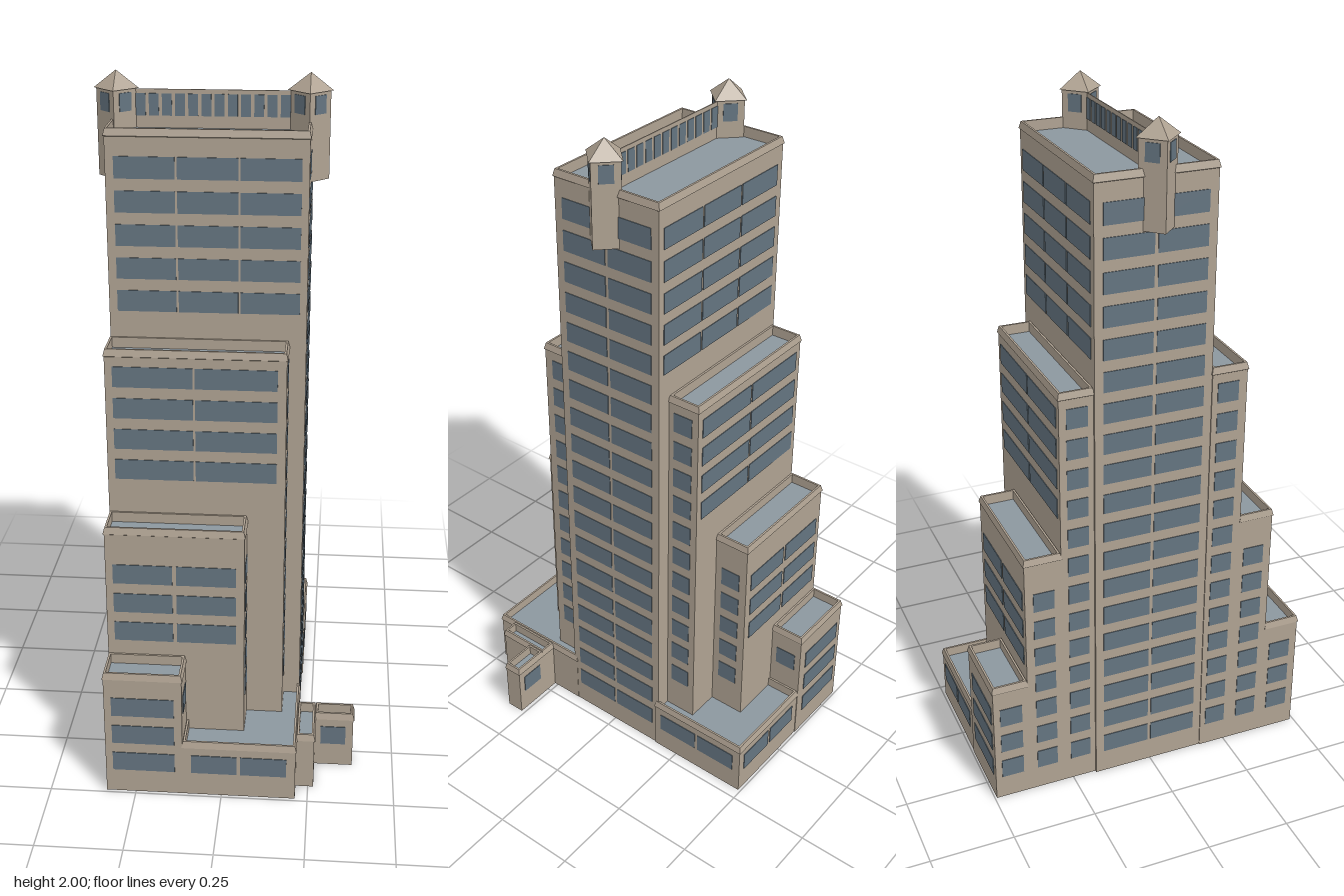
import * as THREE from 'three';
import { mergeGeometries } from 'three/addons/utils/BufferGeometryUtils.js';

const mat = (name, color) => new THREE.MeshStandardMaterial({ name, color });

// Surface through a stack of rectangles [x0, x1, z0, z1, y], flat-sided
function rectLoft(rings, capFirst, capLast) {
  const pos = [];
  const corners = ([x0, x1, z0, z1, y]) => [[x0, y, z1], [x1, y, z1], [x1, y, z0], [x0, y, z0]];
  const quad = (a, b, c, d) => pos.push(...a, ...b, ...c, ...a, ...c, ...d);
  const loops = rings.map(corners);
  for (let i = 0; i + 1 < loops.length; i++) {
    for (let k = 0; k < 4; k++) {
      const n = (k + 1) % 4;
      quad(loops[i][k], loops[i][n], loops[i + 1][n], loops[i + 1][k]);
    }
  }
  if (capFirst) quad(...[...loops[0]].reverse());
  if (capLast) quad(...loops[loops.length - 1]);
  const g = new THREE.BufferGeometry();
  g.setAttribute('position', new THREE.Float32BufferAttribute(pos, 3));
  g.computeVertexNormals();
  return g;
}

// Window grid: row 0 is the highest floor, row 18 the ground floor
const rowY = (row) => 1.771 - row * 0.0926;
const WIN_H = 0.06;
const THIN = 0.004;

export function createModel() {
  const model = new THREE.Group();
  model.name = 'tower';
  const stone = mat('stone', 0xafa292);
  const roofGrey = mat('roof grey', 0x8c979f);
  const glass = mat('window glass', 0x647480);

  const add = (parent, name, geometry, material) => {
    const m = new THREE.Mesh(geometry, material);
    m.name = name;
    parent.add(m);
    return m;
  };

  // Block with a bevelled parapet, a sunken roof and window panels.
  // Each window entry: [side, firstRow, lastRow, [[from, to], ...]]
  function block(name, x0, x1, z0, z1, h, windows) {
    const g = new THREE.Group();
    g.name = name;
    model.add(g);
    const ring = (o, y) => [x0 - o, x1 + o, z0 - o, z1 + o, y];
    add(g, 'walls', rectLoft([
      ring(0, 0), ring(0, h - 0.022), ring(0.003, h - 0.02), ring(-0.002, h),
      ring(-0.008, h), ring(-0.008, h - 0.03),
    ], true, false), stone);
    add(g, 'roof', rectLoft([ring(-0.008, h - 0.03)], false, true), roofGrey);

    const panels = [];
    for (const [side, first, last, spans] of windows) {
      for (let row = first; row <= last; row++) {
        for (const [a, b] of spans) {
          const w = Math.abs(b - a), c = (a + b) / 2;
          const alongX = side === 'front' || side === 'back';
          const p = alongX ? new THREE.BoxGeometry(w, WIN_H, THIN) : new THREE.BoxGeometry(THIN, WIN_H, w);
          const at = { front: [c, z1], back: [c, z0], east: [x1, c], west: [x0, c] }[side];
          p.translate(at[0], rowY(row), at[1]);
          panels.push(p);
        }
      }
    }
    if (panels.length) add(g, 'windows', mergeGeometries(panels), glass);
  }

  // Main shaft
  const shaftCols = [[-0.31, -0.146], [-0.14, 0.024], [0.03, 0.193]];
  const shaftSide = [[-0.153, -0.01], [0, 0.143]];
  block('mainShaft', -0.333, 0.213, -0.178, 0.168, 1.875, [
    ['front', 0, 4, shaftCols], ['back', 0, 4, shaftCols],
    ['east', 0, 18, shaftSide], ['west', 0, 18, shaftSide],
  ]);

  // Stepped tiers on the front and back
  const tiers = [
    { n: 'upperTier', h: 1.295, x: [0.165, 0.168], z: [0.168, 0.275], b: [-0.278, -0.178], rows: [6, 9], east: 16,
      cols: [[-0.315, -0.093], [-0.087, 0.14]], side: [0.185, 0.249] },
    { n: 'middleTier', h: 0.805, x: [0.058, 0.066], z: [0.275, 0.38], b: [-0.388, -0.278], rows: [12, 14], east: 16,
      cols: [[-0.315, -0.146], [-0.135, 0.034]], side: [0.29, 0.355] },
    { n: 'lowerTier', h: 0.4, x: [-0.112, -0.096], z: [0.38, 0.49], b: [-0.494, -0.388], rows: [16, 18], east: 16,
      cols: [[-0.315, -0.135]], side: [0.397, 0.466] },
  ];
  for (const t of tiers) {
    const front = [t.side];
    const back = [[-t.side[1] - 0.008, -t.side[0] - 0.01]];
    const backCols = t.cols.map(([a, b]) => [a + 0.008, b + 0.008]);
    block(t.n + 'Front', -0.336, t.x[0], t.z[0], t.z[1], t.h, [
      ['front', t.rows[0], t.rows[1], t.cols],
      ['east', t.rows[0], t.east, front], ['west', t.rows[0], 18, front],
    ]);
    block(t.n + 'Back', -0.326, t.x[1], t.b[0], t.b[1], t.h, [
      ['back', t.rows[0], t.rows[1], backCols],
      ['east', t.rows[0], t.east, back], ['west', t.rows[0], 18, back],
    ]);
  }

  // Low podiums and side annexes
  block('podiumFront', -0.112, 0.214, 0.158, 0.49, 0.18, [['front', 18, 18, [[-0.087, 0.045], [0.055, 0.188]]]]);
  block('podiumBack', -0.096, 0.216, -0.492, -0.168, 0.18, [
    ['back', 18, 18, [[-0.07, 0.053], [0.063, 0.192]]],
    ['east', 18, 18, [[-0.466, -0.333], [-0.323, -0.19]]],
  ]);
  block('annexInner', 0.214, 0.266, 0.262, 0.43, 0.18, []);
  block('annexOuter', 0.266, 0.379, 0.262, 0.318, 0.18, [
    ['front', 18, 18, [[0.283, 0.357]]], ['back', 18, 18, [[0.283, 0.357]]],
  ]);

  // Corner-on turrets with pyramid caps
  for (const [name, x] of [['turretWest', -0.322], ['turretEast', 0.207]]) {
    const g = new THREE.Group();
    g.name = name;
    g.position.x = x;
    g.rotation.y = Math.PI / 4;
    model.add(g);
    const w = 0.055 * Math.SQRT2;
    add(g, 'turretBody', new THREE.BoxGeometry(w, 0.24, w).translate(0, 1.832, 0), stone);
    const e = 0.062 / Math.SQRT2;
    add(g, 'turretCap', rectLoft([[-e, e, -e, e, 1.952], [0, 0, 0, 0, 2]], true, false), stone);
    const panes = [];
    for (let i = 0; i < 4; i++) {
      panes.push(new THREE.BoxGeometry(0.04, 0.05, THIN).translate(0, 1.918, w / 2).rotateY(i * Math.PI / 2));
    }
    add(g, 'turretWindows', mergeGeometries(panes), glass);
  }

  // Glazed screen wall between the turrets
  const screen = new THREE.Group();
  screen.name = 'screenWall';
  model.add(screen);
  add(screen, 'screenPanel', new THREE.BoxGeometry(0.45, 0.105, 0.003).translate(-0.058, 1.8975, 0), stone);
  const panes = [];
  for (let i = 0; i < 12; i++) {
    panes.push(new THREE.BoxGeometry(0.027, 0.06, 0.006).translate(-0.058 + (i - 5.5) * 0.036, 1.908, 0));
  }
  add(screen, 'screenWindows', mergeGeometries(panes), glass);

  return model;
}
